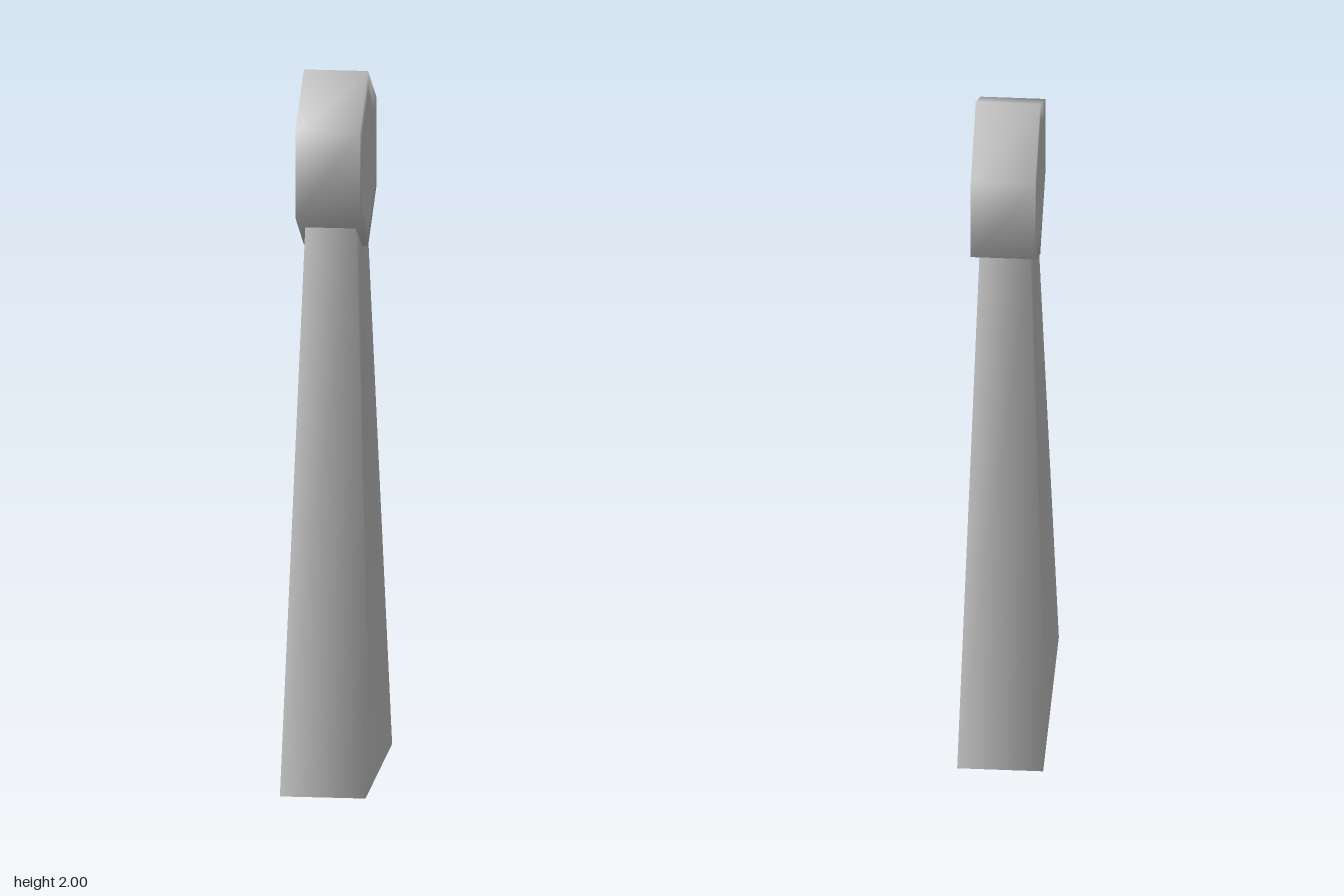
import * as THREE from 'three';

const TOP = 1.6; // height at which the legs disappear into the head

// Half-width of the tapered body at height y
const halfX = (y) => THREE.MathUtils.lerp(0.12, 0.07, y / TOP);

// Four corners seen from the side: front bottom, back bottom, back top, front top
const corners = (y0, z0, y1, z1) => [[y0, z0], [y0, -z0], [y1, -z1], [y1, z1]];

// Tapered hollow body, open below, with a deep recess in both broad sides
function bodyGeometry() {
  const positions = [];
  const index = [];
  const quad = (a, b, c, d) => index.push(a, b, c, a, c, d);
  const ring = (points, xAt) => {
    const start = positions.length / 3;
    points.forEach(([y, z]) => positions.push(xAt(y), y, z));
    return [0, 1, 2, 3].map((i) => start + i);
  };

  const depth = 0.035; // distance of the recessed panel from the centre
  const opening = corners(0.115, 0.225, 1.48, 0.07);
  const outer = {};
  for (const s of [1, -1]) {
    const rings = [
      ring(corners(0, 0.34, TOP, 0.14), (y) => s * halfX(y)),
      ring(opening, (y) => s * halfX(y)),
      ring(opening, () => s * depth),
      ring(corners(0.3, 0.13, 1.2, 0.045), () => s * depth),
    ];
    outer[s] = rings[0];
    const face = (a, b, c, d) => (s > 0 ? quad(a, b, c, d) : quad(d, c, b, a));
    // frame, recess walls and panel border
    for (let k = 0; k < 3; k++) {
      const a = rings[k], b = rings[k + 1];
      for (let i = 0; i < 4; i++) {
        const j = (i + 1) % 4;
        face(a[i], a[j], b[j], b[i]);
      }
    }
    face(...rings[3]);
  }

  // narrow front and back walls
  const L = outer[-1], R = outer[1];
  quad(L[0], R[0], R[3], L[3]);
  quad(R[1], L[1], L[2], R[2]);

  const geometry = new THREE.BufferGeometry();
  geometry.setAttribute('position', new THREE.Float32BufferAttribute(positions, 3));
  geometry.setIndex(index);
  geometry.computeVertexNormals();
  return geometry;
}

// Six-sided head lying on its side, with soft shading around flat caps
function headGeometry() {
  const profile = [[0, -0.09], [0.19, -0.09], [0.25, -0.09], [0.25, 0.09], [0.19, 0.09], [0, 0.09]]
    .map(([r, y]) => new THREE.Vector2(r, y));
  return new THREE.LatheGeometry(profile, 6, Math.PI / 2).rotateZ(Math.PI / 2);
}

export function createModel() {
  const grey = new THREE.MeshStandardMaterial({ color: 0xc0c0c0, side: THREE.DoubleSide });
  grey.name = 'plain grey';

  const group = new THREE.Group();
  group.name = 'hexHeadedPost';

  const body = new THREE.Mesh(bodyGeometry(), grey);
  body.name = 'taperedBody';

  const head = new THREE.Mesh(headGeometry(), grey);
  head.name = 'hexagonalHead';
  head.position.y = 1.75;

  group.add(body, head);
  return group;
}
